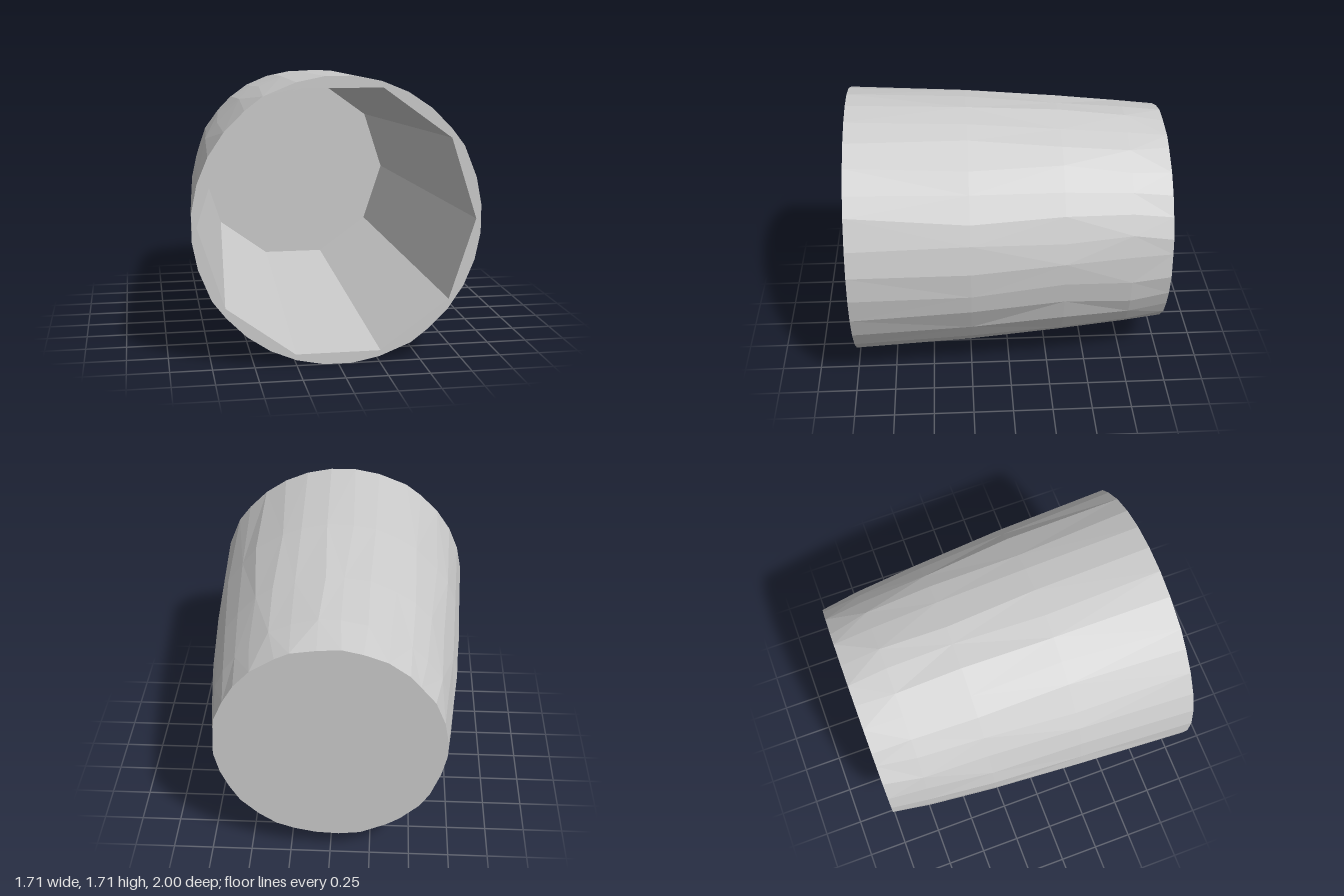
import * as THREE from 'three';

const TAU = Math.PI * 2;
const CENTER_Y = 0.857;
const SIDES = 32;

// Small seeded generator for the hand-worked unevenness of the wall
function makeRandom(seed) {
  return () => {
    seed = (seed * 1664525 + 1013904223) % 4294967296;
    return seed / 4294967296 - 0.5;
  };
}

// Regular ring of points around the z axis
function ring(sides, radius, z, offset = 0) {
  return Array.from({ length: sides }, (_, i) => {
    const a = ((i + offset) / sides) * TAU;
    return new THREE.Vector3(Math.cos(a) * radius, Math.sin(a) * radius, z);
  });
}

// Skin between successive rings (front to back); inward flips the faces
function loft(rings, inward = false) {
  const n = rings[0].length;
  const index = [];
  for (let r = 0; r < rings.length - 1; r++) {
    for (let i = 0; i < n; i++) {
      const j = (i + 1) % n;
      const a = r * n + i, b = r * n + j, c = a + n, d = b + n;
      // alternate the diagonals for irregular long facets
      const tris = (i + r) % 2 ? [a, c, b, b, c, d] : [a, c, d, a, d, b];
      for (let t = 0; t < 6; t += 3) {
        const [p, q, s] = tris.slice(t, t + 3);
        index.push(...(inward ? [p, s, q] : [p, q, s]));
      }
    }
  }
  const geometry = new THREE.BufferGeometry().setFromPoints(rings.flat());
  geometry.setIndex(index);
  const flat = geometry.toNonIndexed();
  flat.computeVertexNormals();
  return flat;
}

// Flat plate bounded by a ring, optionally with a hole
function plate(outline, hole) {
  const flatten = (pts) => pts.map((p) => new THREE.Vector2(p.x, p.y));
  const shape = new THREE.Shape(flatten(outline));
  if (hole) shape.holes.push(new THREE.Path(flatten(hole)));
  return new THREE.ShapeGeometry(shape).translate(0, 0, outline[0].z);
}

export function createModel() {
  const group = new THREE.Group();
  group.name = 'taperedCup';
  const material = new THREE.MeshStandardMaterial({ color: 0xcccccc, flatShading: true });
  const doubleSided = material.clone();
  doubleSided.side = THREE.DoubleSide;

  const add = (name, geometry, mat = material) => {
    const mesh = new THREE.Mesh(geometry, mat);
    mesh.name = name;
    mesh.position.y = CENTER_Y;
    group.add(mesh);
  };

  // Outer wall: slightly bulging taper, uneven behind the rim
  const random = makeRandom(7);
  const profile = [[1, 0.861], [0.25, 0.825], [-0.33, 0.782], [-0.75, 0.742], [-1, 0.705]];
  const outer = profile.map(([z, radius], r) => {
    const points = ring(SIDES, radius, z, 0.5);
    points.forEach((p, i) => {
      if (r === 0) {
        // four slight corners on the rim
        if (i % 8 === 2) {
          const a = Math.atan2(p.y, p.x) + 0.042;
          p.set(Math.cos(a) * 0.867, Math.sin(a) * 0.867, z);
        }
        return;
      }
      const a = Math.atan2(p.y, p.x) + random() * 0.07;
      const rad = radius + random() * 0.012;
      p.set(Math.cos(a) * rad, Math.sin(a) * rad, z);
    });
    return points;
  });
  add('outerWall', loft(outer));

  // Ten-sided hollow
  const mouth = ring(10, 0.828, 1);
  const floor = ring(10, 0.673, -0.95);
  add('innerWall', loft([mouth, floor], true));
  add('innerFloor', plate(floor));

  // Rim and closed back
  add('rim', plate(outer[0], mouth));
  add('base', plate(outer[outer.length - 1]), doubleSided);
  return group;
}
